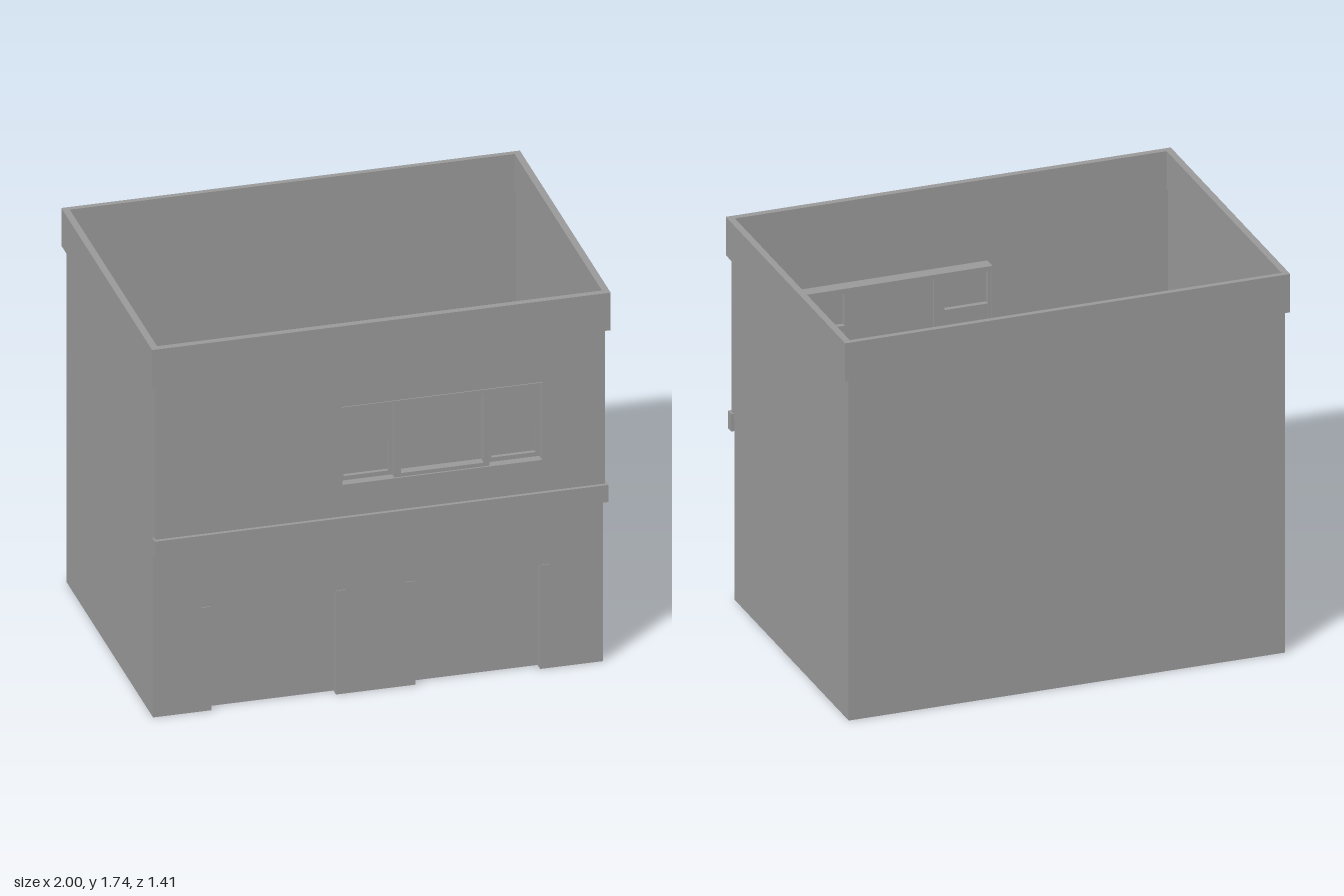
import * as THREE from 'three';

const mat = new THREE.MeshStandardMaterial({ color: 0x999999, flatShading: true, side: THREE.DoubleSide });

function add(parent, name, geometry, x = 0, y = 0, z = 0) {
  const mesh = new THREE.Mesh(geometry, mat);
  mesh.name = name;
  mesh.position.set(x, y, z);
  parent.add(mesh);
  return mesh;
}

function group(parent, name) {
  const g = new THREE.Group();
  g.name = name;
  parent.add(g);
  return g;
}

// Box given by its limits on each axis
function box(parent, name, x0, x1, y0, y1, z0, z1) {
  return add(parent, name, new THREE.BoxGeometry(x1 - x0, y1 - y0, z1 - z0),
    (x0 + x1) / 2, (y0 + y1) / 2, (z0 + z1) / 2);
}

const polygon = points => new THREE.Shape(points.map(([x, y]) => new THREE.Vector2(x, y)));

// Rectangle with rectangular holes, each written [x0, x1, y0, y1]
const corners = ([x0, x1, y0, y1]) => [[x0, y0], [x1, y0], [x1, y1], [x0, y1]];
function panel(rect, holes = []) {
  const shape = polygon(corners(rect));
  shape.holes = holes.map(h => polygon(corners(h)));
  return shape;
}

function sheet(parent, name, z, rect, holes) {
  return add(parent, name, new THREE.ShapeGeometry(panel(rect, holes)), 0, 0, z);
}

function frame(parent, name, z0, z1, rect, holes) {
  const geometry = new THREE.ExtrudeGeometry(panel(rect, holes), { depth: z1 - z0, bevelEnabled: false });
  return add(parent, name, geometry, 0, 0, z0);
}

// Thin walls, open above and below; the upper front oversails the lower one
function walls(parent, doors, doorTop, win) {
  const g = group(parent, 'walls');
  const x0 = -0.983, x1 = 0.978, zBack = -0.688, zLow = 0.65, zUp = 0.685, step = 0.82, top = 1.567;
  const outline = [[x0, 0]];
  for (const [a, b] of doors) outline.push([a, 0], [a, doorTop], [b, doorTop], [b, 0]);
  outline.push([x1, 0], [x1, step], [x0, step]);
  add(g, 'lowerFrontWall', new THREE.ShapeGeometry(polygon(outline)), 0, 0, zLow);
  sheet(g, 'upperFrontWall', zUp, [x0, x1, step, top], [win]);
  sheet(g, 'backWall', zBack, [x0, x1, 0, top]);
  const side = polygon([[zBack, 0], [zLow, 0], [zLow, step], [zUp, step], [zUp, top], [zBack, top]]);
  for (const [name, x] of [['rightWall', x0], ['leftWall', x1]])
    add(g, name, new THREE.ShapeGeometry(side).rotateY(-Math.PI / 2), x);
}

// Recessed garage door with its lining and flat trim
function garageDoor(parent, x0, x1, top) {
  const g = group(parent, 'garageDoor');
  const back = 0.61, front = 0.65, depth = front - back, mid = (front + back) / 2, w = 0.045;
  sheet(g, 'doorPanel', back, [x0, x1, 0, top]);
  add(g, 'doorHead', new THREE.PlaneGeometry(x1 - x0, depth).rotateX(-Math.PI / 2), (x0 + x1) / 2, top, mid);
  for (const x of [x0, x1])
    add(g, 'doorJamb', new THREE.PlaneGeometry(depth, top).rotateY(Math.PI / 2), x, top / 2, mid);
  for (const [a, b] of [[x0 - w, x0], [x1, x1 + w]])
    box(g, 'doorTrimSide', a, b, 0.003, top, front, front + 0.004);
  sheet(g, 'doorTrimTop', front + 0.0005, [x0 - w, x1 + w, top, top + w]);
}

// Side light: upper sash standing in front of the lower one
function sashWindow(parent, x0, x1, y0, y1) {
  const g = group(parent, 'sashWindow');
  const inset = 0.017, meet = 1.165;
  const inner = [x0 + inset, x1 - inset];
  const lower = [...inner, y0 + 0.02, meet];
  frame(g, 'sashFrame', 0.627, 0.65, [x0, x1, y0, y1], [lower, [...inner, meet + 0.025, y1 - 0.02]]);
  sheet(g, 'lowerPane', 0.632, lower);
  sheet(g, 'upperPane', 0.65, [...inner, meet, y1 - 0.02]);
}

export function createModel() {
  const model = new THREE.Group();
  model.name = 'garageBuilding';

  const doors = [[-0.73, -0.185], [0.16, 0.705]], doorTop = 0.487;
  const [x0, x1, y0, y1] = [-0.172, 0.705, 0.995, 1.36];
  const opening = [x0, x1, y0, y1];

  walls(model, doors, doorTop, opening);

  // Belt course across the front
  box(model, 'beltCourse', -0.99, 0.988, 0.768, 0.848, 0.662, 0.702);

  for (const [a, b] of doors) garageDoor(model, a, b, doorTop);

  // Three-part window: deep lining, sashes either side of a forward centre light
  const w = group(model, 'window');
  const t = 0.003, m0 = 0.06, m1 = 0.475;
  frame(w, 'windowLining', 0.625, 0.69, opening, [[x0 + t, x1 - t, y0 + t, y1 - t]]);
  sashWindow(w, x0 + t, m0, y0 + t, y1 - t);
  sashWindow(w, m1, x1 - t, y0 + t, y1 - t);
  const pane = [0.09, 0.45, 1.015, 1.34];
  frame(w, 'centreFrame', 0.627, 0.682, [m0, m1, y0 + t, y1 - t], [pane]);
  sheet(w, 'centrePane', 0.642, pane);

  // Parapet ring around the open top
  const ring = new THREE.ExtrudeGeometry(
    panel([-1, 1, -0.695, 0.705], [[-0.97, 0.97, -0.665, 0.68]]),
    { depth: 0.176, bevelEnabled: false });
  ring.rotateX(-Math.PI / 2);
  add(model, 'parapet', ring, 0, 1.567, 0);

  return model;
}
